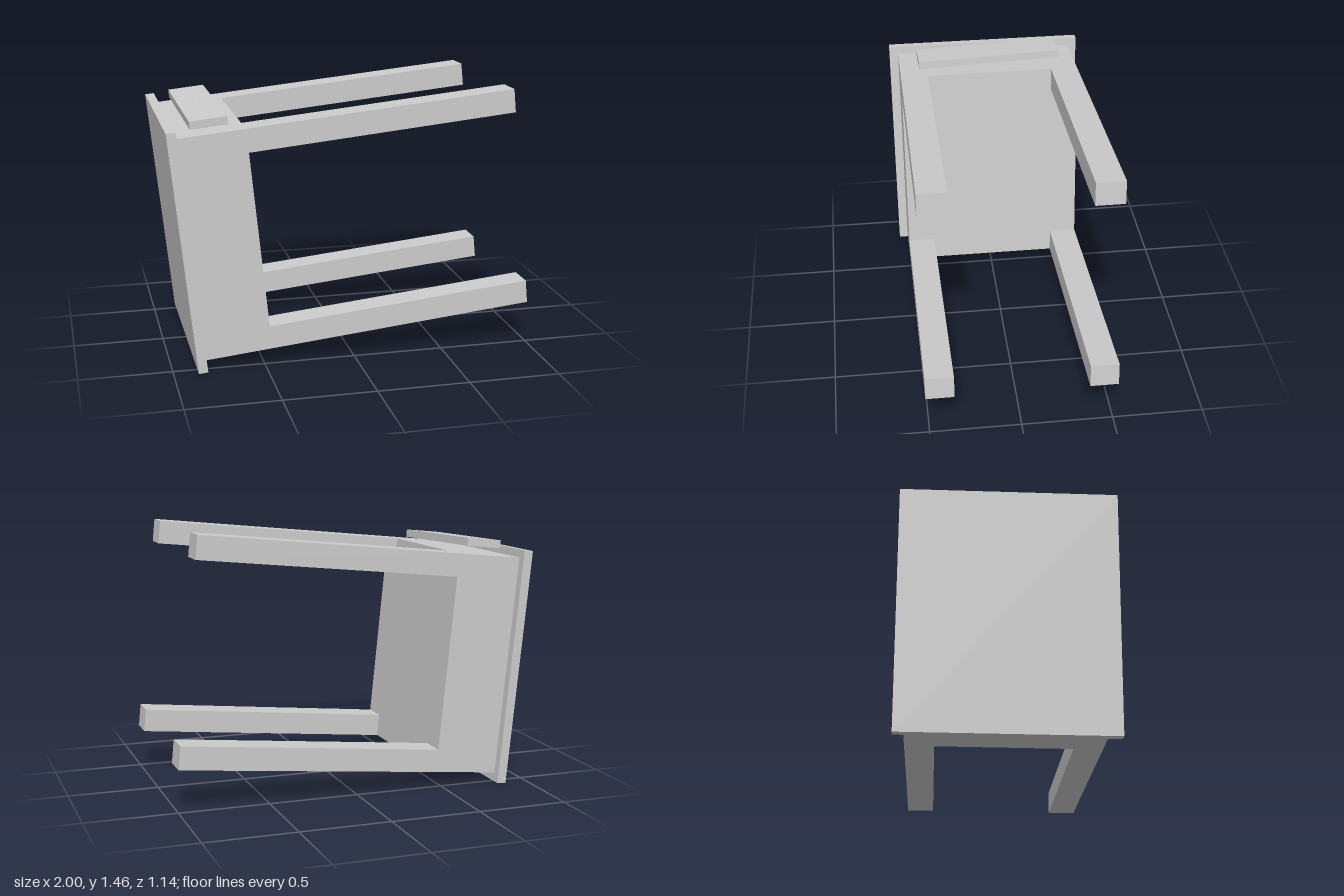
import * as THREE from 'three';

export function createModel() {
  const model = new THREE.Group();
  model.name = 'tippedTable';
  const grey = new THREE.MeshStandardMaterial({ color: 0xcccccc });
  grey.name = 'plain grey';

  // Table lying on its side: local x runs along the legs, local y across the top
  const table = new THREE.Group();
  table.name = 'table';
  table.position.set(-0.868, 0, -0.004);
  table.rotation.z = 0.1005;
  model.add(table);

  // Box given by its lower and upper corners
  function box(name, min, max) {
    const size = max.map((v, i) => v - min[i]);
    const mesh = new THREE.Mesh(new THREE.BoxGeometry(...size), grey);
    mesh.position.set(...max.map((v, i) => (v + min[i]) / 2));
    mesh.name = name;
    table.add(mesh);
  }

  const low = 0.049, high = 1.273, halfDepth = 0.519;
  const legHeight = 0.128, legDepth = 0.155;
  const bodyEnd = 0.416, legEnd = 1.882;

  box('tableTop', [0, 0, -0.57], [0.051, 1.318, 0.57]);
  box('body', [0.051, low, -halfDepth], [bodyEnd, high, halfDepth]);

  // Four square legs, flush with the body corners
  for (const y of [low, high - legHeight]) {
    for (const z of [-halfDepth, halfDepth - legDepth]) {
      box('leg', [bodyEnd, y, z], [legEnd, y + legHeight, z + legDepth]);
    }
  }

  // Loose drawer front, slightly askew above the body
  const drawer = new THREE.Group();
  drawer.name = 'drawer';
  drawer.position.set(-0.768, 1.337, -0.01);
  drawer.rotation.set(0.028, 0.019, 0.1005);
  const front = new THREE.Mesh(new THREE.BoxGeometry(0.203, 0.044, 0.83), grey);
  front.name = 'drawerFront';
  // Tiny knob barely breaking the surface
  const knob = new THREE.Mesh(new THREE.SphereGeometry(0.018, 12, 8), grey);
  knob.name = 'drawerKnob';
  knob.position.y = 0.008;
  drawer.add(front, knob);
  model.add(drawer);

  return model;
}
